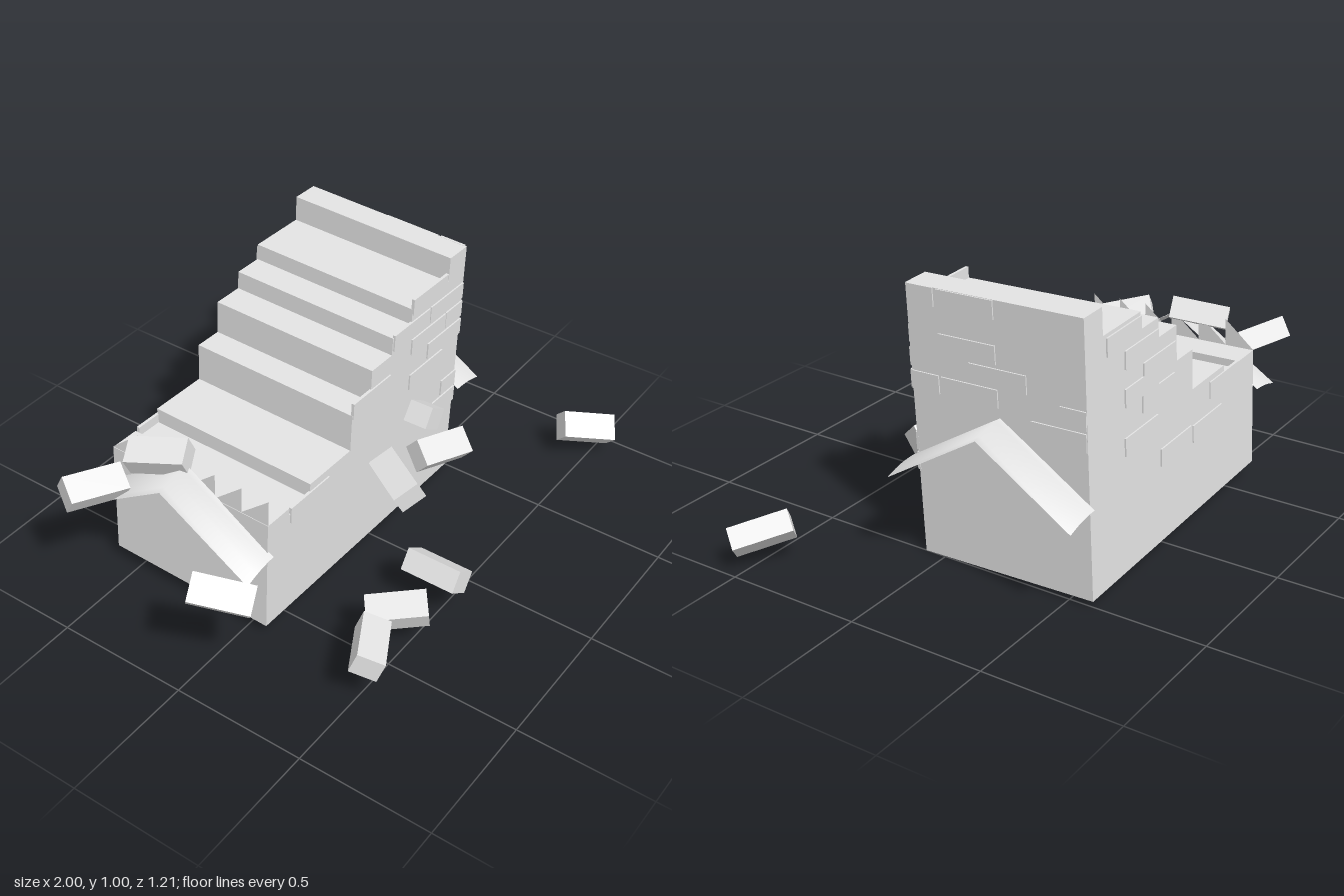
import * as THREE from 'three';

const stone = new THREE.MeshStandardMaterial({ color: 0xe4e4e4, flatShading: true });
stone.name = 'pale stone';
const sheet = new THREE.MeshStandardMaterial({ color: 0xe4e4e4, side: THREE.DoubleSide });
sheet.name = 'thin pale stone';

function add(parent, name, geometry, material = stone) {
  const mesh = new THREE.Mesh(geometry, material);
  mesh.name = name;
  parent.add(mesh);
  return mesh;
}

const LEFT = -0.63, RIGHT = 0.5, BASE = 0.022, FRONT = 0.08, BACK = -0.59;
const TILT_X = 0.03, TILT_Z = -0.036;

// Broken, stepped top: [start x, height], from low end to high end
const STEPS = [
  [LEFT, 0.473], [-0.515, 0.445], [-0.4, 0.502], [-0.17, 0.65],
  [-0.063, 0.778], [0.055, 0.847], [0.167, 0.908], [0.395, 1.004],
];

// Side outline of the ruin, with a flat underside or one slotted between upright fins
function ruinShape(slotted) {
  const s = new THREE.Shape();
  s.moveTo(LEFT, BASE);
  if (slotted) {
    const n = 10, fin = 0.006, w = (RIGHT - LEFT - fin) / n;
    for (let i = 0; i < n; i++) {
      const x0 = LEFT + i * w + fin, x1 = LEFT + (i + 1) * w;
      s.lineTo(x0, BASE);
      s.lineTo(x0, 0.4);
      s.lineTo(x1, 0.4);
      s.lineTo(x1, BASE);
    }
  }
  s.lineTo(RIGHT, BASE);
  for (let i = STEPS.length - 1; i >= 0; i--) {
    const [x, y] = STEPS[i];
    s.lineTo(i === STEPS.length - 1 ? RIGHT : STEPS[i + 1][0], y);
    s.lineTo(x, y);
  }
  s.closePath();
  return s;
}

const extrude = (shape, depth) => new THREE.ExtrudeGeometry(shape, { depth, bevelEnabled: false });

// Gabled eave that flares down away from the wall, softly shaded over the ridge
function eaveGeometry(side, wallX) {
  const g = new THREE.PlaneGeometry(1, 1, 6, 2);
  const p = g.attributes.position;
  for (let i = 0; i < p.count; i++) {
    const t = p.getX(i) + 0.5, v = p.getY(i) * 2;
    p.setXYZ(i, wallX + side * 0.14 * t, 0.59 - 0.225 * Math.abs(v) - 0.026 * t * t, -0.245 - side * v * 0.356);
  }
  g.computeVertexNormals();
  return g;
}

export function createModel() {
  const model = new THREE.Group();
  model.name = 'ruinedBuilding';

  // Leaning ruin
  const ruin = new THREE.Group();
  ruin.name = 'ruin';
  ruin.rotation.set(TILT_X, 0, TILT_Z);
  model.add(ruin);
  const skin = 0.005;
  add(ruin, 'steppedCore', extrude(ruinShape(true), FRONT - BACK - 2 * skin)).position.z = BACK + skin;
  add(ruin, 'frontWall', extrude(ruinShape(false), skin)).position.z = FRONT - skin;
  add(ruin, 'backWall', extrude(ruinShape(false), skin)).position.z = BACK;

  // Jagged remains of the low end wall
  const jag = new THREE.Shape();
  jag.moveTo(FRONT, 0.44);
  const teeth = 6, w = (FRONT - BACK) / teeth;
  for (let i = 0; i < teeth; i++) {
    const z = FRONT - i * w;
    jag.lineTo(z, 0.575);
    jag.lineTo(z - w, 0.475);
  }
  jag.lineTo(BACK, 0.44);
  const jagGeo = new THREE.ShapeGeometry(jag).rotateY(-Math.PI / 2);
  add(ruin, 'jaggedEndWall', jagGeo, sheet).position.x = LEFT + 0.002;

  // Raised bricks on the walls: [centre along wall, centre height, length]
  const frontBricks = [
    [-0.385, 0.45, 0.215], [-0.035, 0.667, 0.22], [0.2, 0.815, 0.22], [0.42, 0.808, 0.21],
    [0.308, 0.902, 0.215], [0.31, 0.733, 0.215], [0.418, 0.653, 0.215], [0.305, 0.58, 0.21],
    [0.468, 0.422, 0.095], [0.473, 0.728, 0.105], [0.44, 0.35, 0.15],
  ];
  const backBricks = [
    [0.305, 0.87, 0.21], [0.195, 0.79, 0.21], [0.08, 0.71, 0.21], [0.195, 0.66, 0.21],
    [0.085, 0.6, 0.21], [0.195, 0.49, 0.21], [-0.038, 0.36, 0.21], [-0.26, 0.36, 0.21], [-0.38, 0.48, 0.21],
  ];
  const sideBricks = [
    [0.05, 0.952, 0.1], [-0.122, 0.955, 0.217], [-0.125, 0.803, 0.219], [-0.24, 0.728, 0.22],
    [-0.522, 0.66, 0.095], [-0.468, 0.583, 0.205], [0.045, 0.648, 0.11], [-0.13, 0.652, 0.22],
  ];
  const rows = [[frontBricks, FRONT, 'frontBrick'], [backBricks, BACK, 'backBrick']];
  for (const [list, z, name] of rows) {
    for (const [x, y, len] of list) {
      add(ruin, name, new THREE.BoxGeometry(len, 0.064, 0.011))
        .position.set(x + TILT_Z * y, y - TILT_Z * x + TILT_X * z, z);
    }
  }
  for (const [z, y, len] of sideBricks) {
    add(ruin, 'sideBrick', new THREE.BoxGeometry(0.01, 0.065, len))
      .position.set(RIGHT, y - TILT_Z * 0.52 + TILT_X * z, z - TILT_X * y);
  }

  // Eaves on both ends
  add(model, 'leftEave', eaveGeometry(1, 0.52), sheet);
  add(model, 'rightEave', eaveGeometry(-1, -0.61), sheet);

  // Flying bricks: [centre, long direction, roll]
  const loose = [
    [[-0.175, 0.17, 0.475], [0, 0, 1], -0.63],
    [[0.88, 0.12, 0.48], [0.15, -0.05, 0.14], 0.65],
    [[-0.89, 0.42, 0.12], [0.11, -0.05, 0.19], 0.65],
    [[-0.79, 0.49, -0.505], [0.18, -0.02, 0.08], 0.5],
    [[-0.635, 0.6, -0.34], [0.08, 0.03, 0.2], 0.45],
    [[-0.61, 0.18, 0.5], [0.18, -0.01, -0.1], 0.3],
    [[-0.41, 0.165, 0.47], [0.13, 0.02, 0.17], 0.4],
    [[-0.03, 0.35, 0.21], [-0.1, -0.01, 0.17], 0.5],
    [[0.23, 0.32, 0.22], [0.2, -0.03, 0.07], 0.6],
    [[0.245, 0.43, 0.08], [0.02, 0, 1], -0.6],
  ];
  const brick = new THREE.BoxGeometry(0.1, 0.08, 0.21);
  const forward = new THREE.Vector3(0, 0, 1);
  for (const [pos, dir, roll] of loose) {
    const m = add(model, 'flyingBrick', brick);
    m.position.set(...pos);
    m.quaternion.setFromUnitVectors(forward, new THREE.Vector3(...dir).normalize());
    m.rotateZ(roll);
  }
  return model;
}
